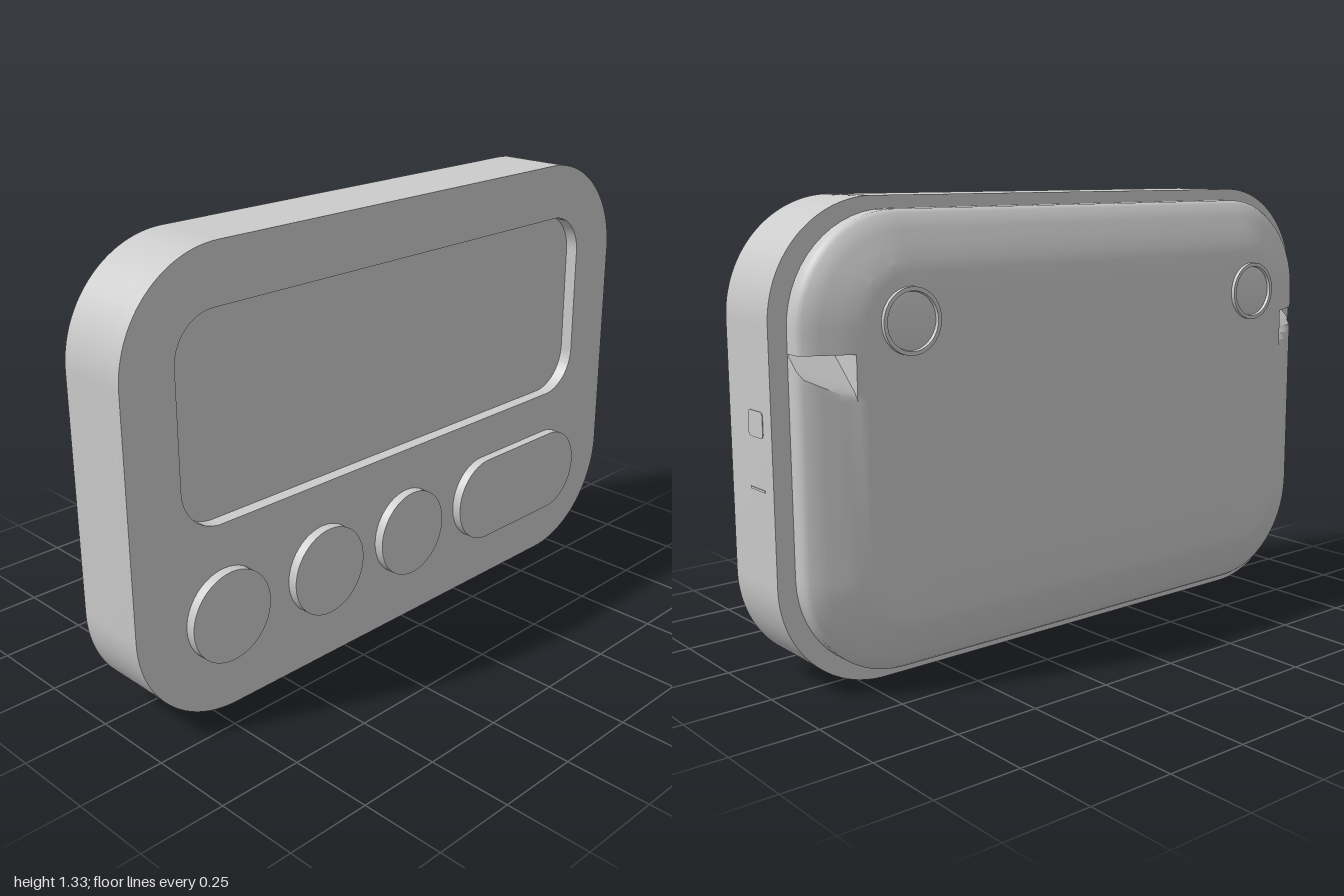
import * as THREE from 'three';
import { toCreasedNormals } from 'three/addons/utils/BufferGeometryUtils.js';

const MID_Y = 0.6625;
const grey = new THREE.MeshStandardMaterial({ color: 0xcccccc });

function add(parent, name, geometry, x = 0, y = 0, z = 0) {
  const mesh = new THREE.Mesh(geometry, grey);
  mesh.name = name;
  mesh.position.set(x, y, z);
  parent.add(mesh);
  return mesh;
}

// Rounded rectangle outline, centred on (cx, cy)
function roundedRect(w, h, r, cx = 0, cy = 0, Type = THREE.Shape) {
  const s = new Type();
  const x = w / 2 - r, y = h / 2 - r;
  s.absarc(cx + x, cy - y, r, -Math.PI / 2, 0);
  s.absarc(cx + x, cy + y, r, 0, Math.PI / 2);
  s.absarc(cx - x, cy + y, r, Math.PI / 2, Math.PI);
  s.absarc(cx - x, cy - y, r, Math.PI, Math.PI * 1.5);
  s.closePath();
  return s;
}

function slab(shape, depth) {
  const g = new THREE.ExtrudeGeometry(shape, { depth, bevelEnabled: false, curveSegments: 20 });
  return toCreasedNormals(g, 0.5);
}

// Back cover: rounded-rectangle rings, with a wedge notch cut in each side
function backCover() {
  const hw = 0.945, hh = 0.6275, r = 0.3, steps = 14;
  const rings = [[0, -0.05], [0, -0.075], [0, -0.1], [0.01, -0.115], [0.05, -0.136], [0.09, -0.157],
    [0.13, -0.174], [0.1305, -0.1742], [0.16, -0.181], [0.2, -0.185]];
  const notchY = [0.81, 0.83, 0.85, 0.87, 0.89, 0.91, 0.9299, 0.93];

  function outline(inset) {
    const pts = [];
    const corner = (sx, sy, start) => {
      for (let i = 0; i <= steps; i++) {
        const a = start + (i / steps) * Math.PI / 2;
        pts.push([sx * (hw - r) + (r - inset) * Math.cos(a), MID_Y + sy * (hh - r) + (r - inset) * Math.sin(a)]);
      }
    };
    corner(1, -1, -Math.PI / 2);
    notchY.forEach(y => pts.push([hw - inset, y]));
    corner(1, 1, 0);
    corner(-1, 1, Math.PI / 2);
    [...notchY].reverse().forEach(y => pts.push([inset - hw, y]));
    corner(-1, -1, Math.PI);
    return pts;
  }

  const pos = [], index = [];
  let n = 0;
  for (const [inset, z] of rings) {
    const pts = outline(inset);
    n = pts.length;
    for (const [x, y] of pts) {
      const inNotch = inset <= 0.13 && Math.abs(x) > 0.8 && y > 0.809 && y < 0.92995;
      const floor = -0.185 + (y - 0.81) / 0.12 * 0.13;
      pos.push(x, y, inNotch ? Math.max(z, floor) : z);
    }
  }
  for (let i = 0; i < rings.length - 1; i++) {
    for (let j = 0; j < n; j++) {
      const k = (j + 1) % n;
      const a = i * n + j, b = i * n + k, c = a + n, d = b + n;
      index.push(a, c, b, b, c, d);
    }
  }
  const centre = pos.length / 3, last = (rings.length - 1) * n;
  pos.push(0, MID_Y, -0.185);
  for (let j = 0; j < n; j++) index.push(last + j, centre, last + (j + 1) % n);

  const g = new THREE.BufferGeometry();
  g.setAttribute('position', new THREE.Float32BufferAttribute(pos, 3));
  g.setIndex(index);
  return toCreasedNormals(g, 0.7);
}

export function createModel() {
  const model = new THREE.Group();
  model.name = 'handheldTimer';

  // Case: solid rear slab and a front frame around the sunken screen
  const outline = () => roundedRect(1.996, 1.325, 0.32, 0, MID_Y);
  add(model, 'caseRear', slab(outline(), 0.185), 0, 0, -0.055);
  const frame = outline();
  frame.holes.push(roundedRect(1.655, 0.595, 0.13, -0.0025, 0.8575, THREE.Path));
  add(model, 'caseFrontFrame', slab(frame, 0.04), 0, 0, 0.13);

  // Front buttons: three round and one pill
  const buttons = new THREE.Group();
  buttons.name = 'buttons';
  model.add(buttons);
  for (const x of [-0.7, -0.335, 0.015]) {
    const g = new THREE.CylinderGeometry(0.135, 0.135, 0.04, 48).rotateX(Math.PI / 2);
    add(buttons, 'roundButton', g, x, 0.293, 0.18);
  }
  add(buttons, 'pillButton', slab(roundedRect(0.59, 0.27, 0.1349), 0.04), 0.53, 0.293, 0.16);

  add(model, 'backCover', backCover());

  // Domed round feet with a raised rim
  const profile = [[0.09, 0], [0.09, 0.022], [0.079, 0.022], [0.077, 0.013], [0.06, 0.017], [0.04, 0.02],
    [0.02, 0.0215], [0, 0.022]].map(([x, y]) => new THREE.Vector2(x, y));
  for (const side of [-1, 1]) {
    const g = toCreasedNormals(new THREE.LatheGeometry(profile, 40).rotateX(-Math.PI / 2), 0.5);
    add(model, 'backFoot', g, side * 0.655, 1.005, -0.175);
  }

  // Speaker holes in a five-dot pattern
  for (const [dx, dy] of [[0, 0], [-1, -1], [-1, 1], [1, -1], [1, 1]]) {
    const g = new THREE.CircleGeometry(0.025, 24).rotateY(Math.PI);
    add(model, 'speakerHole', g, 0.27 + dx * 0.047, 0.84 + dy * 0.047, -0.186);
  }

  // Slide switch on the left side: knob and the end of its track
  const knob = slab(roundedRect(0.076, 0.07, 0.012), 0.004).rotateY(Math.PI / 2);
  add(model, 'switchKnob', knob, 0.996, 0.745, 0.027);
  add(model, 'switchTrackEnd', new THREE.BoxGeometry(0.004, 0.006, 0.076), 0.998, 0.571, 0.027);

  return model;
}
